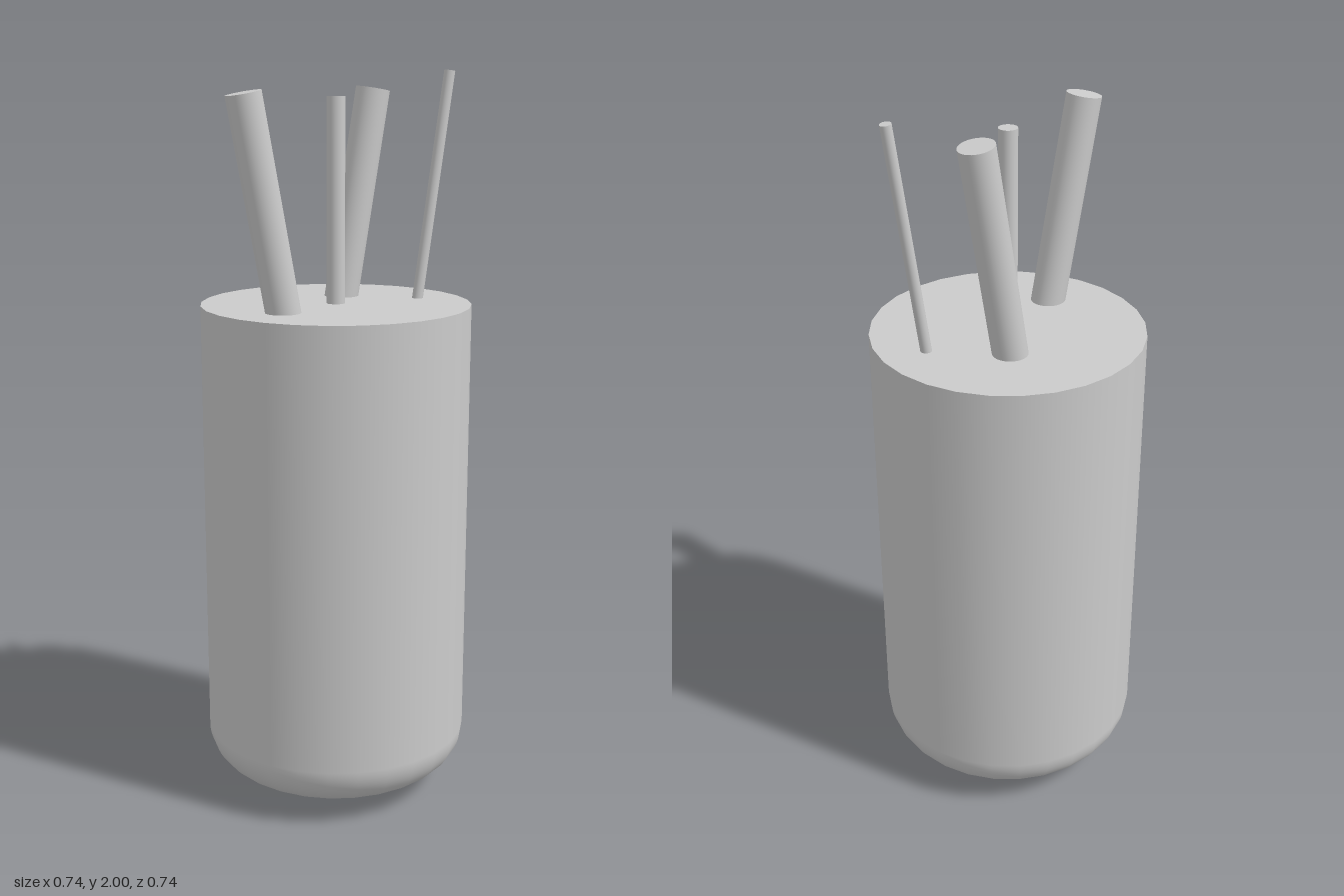
import * as THREE from 'three';

const material = new THREE.MeshStandardMaterial({ color: 0xcccccc });
const RADIUS = 0.368, TOP = 1.385, SIDES = 28;

function lathe(name, points) {
  const mesh = new THREE.Mesh(new THREE.LatheGeometry(points, SIDES), material);
  mesh.name = name;
  return mesh;
}

// Round rod whose axis runs from a point on the lid to its tip, sunk a little into the body
function rod(name, radius, base, tip) {
  const start = new THREE.Vector3(...base);
  const end = new THREE.Vector3(...tip);
  const dir = end.clone().sub(start).normalize();
  start.addScaledVector(dir, -0.05);
  const mesh = new THREE.Mesh(
    new THREE.CylinderGeometry(radius, radius, start.distanceTo(end), 32), material);
  mesh.position.copy(start).add(end).multiplyScalar(0.5);
  mesh.quaternion.setFromUnitVectors(new THREE.Vector3(0, 1, 0), dir);
  mesh.name = name;
  return mesh;
}

export function createModel() {
  const group = new THREE.Group();
  group.name = 'vesselWithRods';

  // Shallow domed bottom, meeting the rounded shoulder at a crease
  const fillet = 0.123, filletY = 0.17, sweep = 1.2;
  const edgeX = RADIUS - fillet + fillet * Math.cos(sweep);
  const edgeY = filletY - fillet * Math.sin(sweep);
  const dome = [];
  for (let i = 0; i <= 10; i++) {
    const t = i / 10;
    dome.push(new THREE.Vector2(edgeX * t, edgeY * t * t));
  }
  group.add(lathe('domedBottom', dome));

  // Rounded lower edge running into the straight wall
  const wall = [];
  for (let i = 0; i <= 10; i++) {
    const a = -sweep * (1 - i / 10);
    wall.push(new THREE.Vector2(
      RADIUS - fillet + fillet * Math.cos(a), filletY + fillet * Math.sin(a)));
  }
  wall.push(new THREE.Vector2(RADIUS, TOP));
  group.add(lathe('bodyWall', wall));

  // Flat lid
  group.add(lathe('lid', [new THREE.Vector2(RADIUS, TOP), new THREE.Vector2(0, TOP)]));

  // Rods standing out of the lid
  group.add(
    rod('rightThickRod', 0.047, [-0.19, TOP, 0.1], [-0.291, 1.943, 0.1]),
    rod('leftThickRod', 0.047, [0.068, TOP, -0.123], [0.161, 1.95, -0.123]),
    rod('centreRod', 0.025, [0, TOP, 0], [0, 1.932, 0]),
    rod('thinRod', 0.015, [0.246, TOP, 0], [0.333, 1.998, 0]),
  );
  return group;
}
